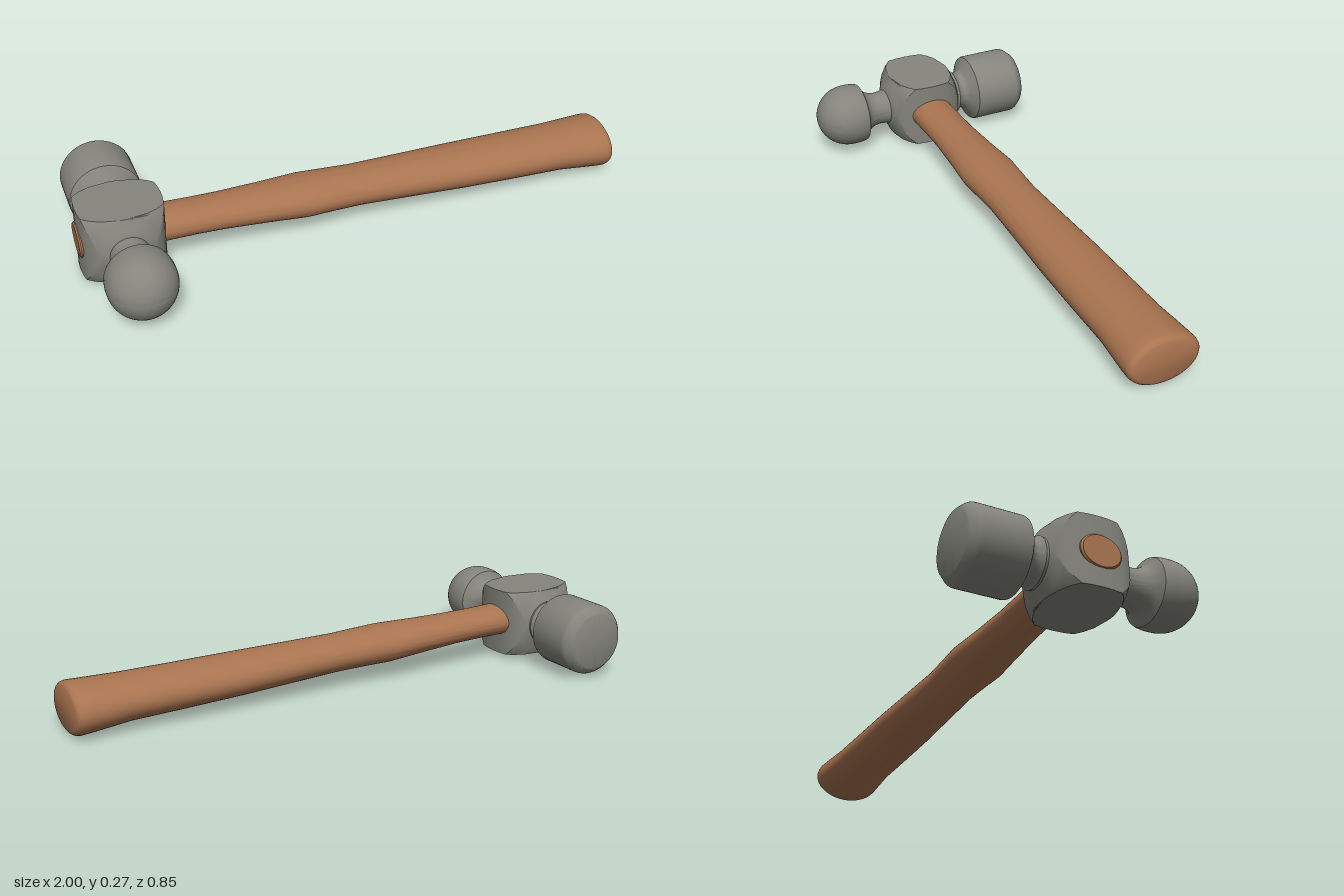
import * as THREE from 'three';
import { toCreasedNormals } from 'three/addons/utils/BufferGeometryUtils.js';

// Skin a list of equal-length point rings and close both ends
function loft(rings, crease) {
  const n = rings[0].length, pos = [], idx = [];
  for (const ring of rings) for (const p of ring) pos.push(...p);
  for (let i = 0; i < rings.length - 1; i++) {
    for (let j = 0; j < n; j++) {
      const k = (j + 1) % n, a = i * n + j, b = i * n + k;
      idx.push(a, b, b + n, a, b + n, a + n);
    }
  }
  [0, rings.length - 1].forEach((r, end) => {
    const c = [0, 1, 2].map(d => rings[r].reduce((s, p) => s + p[d], 0) / n);
    const ci = pos.length / 3;
    pos.push(...c);
    for (let j = 0; j < n; j++) {
      const a = r * n + j, b = r * n + (j + 1) % n;
      end ? idx.push(ci, a, b) : idx.push(ci, b, a);
    }
  });
  const g = new THREE.BufferGeometry();
  g.setAttribute('position', new THREE.Float32BufferAttribute(pos, 3));
  g.setIndex(idx);
  return toCreasedNormals(g, crease);
}

// Circle of radius R cut by a box of half-width w and half-height h
function clippedRing(z, R, w, h) {
  const corner = Math.atan2(h, w);
  let a1 = Math.acos(Math.min(1, w / R)), a2 = Math.asin(Math.min(1, h / R));
  if (a1 > a2) a1 = a2 = corner;
  const quarter = [];
  const add = (from, to, steps) => {
    for (let i = 0; i < steps; i++) quarter.push(from + (to - from) * i / steps);
  };
  add(0, a1, 4);
  add(a1, a2, 10);
  add(a2, Math.PI / 2, 4);
  const half = [...quarter, Math.PI / 2, ...quarter.slice(1).reverse().map(a => Math.PI - a)];
  const all = [...half, ...half.map(a => a + Math.PI)];
  return all.map(a => {
    const c = Math.cos(a), s = Math.sin(a);
    const r = Math.min(R, w / Math.max(Math.abs(c), 1e-6), h / Math.max(Math.abs(s), 1e-6));
    return [r * c, r * s, z];
  });
}

// Revolve [radius, z] pairs about the z axis
function turned(profile) {
  const g = new THREE.LatheGeometry(profile.map(p => new THREE.Vector2(...p)), 64);
  g.rotateX(Math.PI / 2);
  return toCreasedNormals(g, 0.6);
}

export function createModel() {
  const steel = new THREE.MeshStandardMaterial({ color: 0x85857d });
  steel.name = 'steel';
  const wood = new THREE.MeshStandardMaterial({ color: 0xa97450 });
  wood.name = 'wood';

  const model = new THREE.Group();
  model.name = 'hammer';
  const add = (parent, name, geometry, material) => {
    const mesh = new THREE.Mesh(geometry, material);
    mesh.name = name;
    parent.add(mesh);
    return mesh;
  };

  // Head, tipped slightly on the handle
  const head = new THREE.Group();
  head.name = 'head';
  head.position.set(-0.849, 0.143, 0);
  head.rotation.z = -0.025;
  model.add(head);

  // Eye block: bulging sides, flat top and bottom, conical ends
  const halfBody = [ // z, cone radius, half-width
    [0.147, 0.068, 0.2], [0.136, 0.09, 0.2], [0.121, 0.123, 0.112], [0.108, 0.146, 0.122],
    [0.09, 0.168, 0.133], [0.07, 0.186, 0.14], [0.035, 0.21, 0.145],
  ];
  const body = [
    ...halfBody.map(([z, r, w]) => [-z, r, w]), [0, 0.22, 0.147], ...halfBody.slice().reverse(),
  ];
  const eye = add(head, 'eyeBlock',
    loft(body.map(([z, r, w]) => clippedRing(z, r, w, 0.123)), 0.5), steel);
  eye.position.z = -0.006;

  // Ball end with its neck
  const ball = [[0.06, 0.12], [0.068, 0.143], [0.065, 0.155], [0.063, 0.18], [0.066, 0.2],
    [0.073, 0.218], [0.084, 0.232], [0.096, 0.24], [0.112, 0.248], [0.115, 0.256], [0.118, 0.28]];
  for (let i = 0; i <= 16; i++) {
    const a = i / 16 * Math.PI / 2;
    ball.push([Math.max(0, 0.118 * Math.cos(a)), 0.303 + 0.122 * Math.sin(a)]);
  }
  add(head, 'ballPeen', turned(ball), steel);

  // Flat striking end with its neck
  add(head, 'strikingFace', turned([
    [0, -0.426], [0.1, -0.426], [0.107, -0.423], [0.125, -0.402], [0.129, -0.394], [0.13, -0.385],
    [0.13, -0.23], [0.127, -0.222], [0.085, -0.198], [0.077, -0.192], [0.073, -0.182],
    [0.073, -0.172], [0.077, -0.163], [0.085, -0.155], [0.08, -0.13],
  ]), steel);

  // Handle: oval sections running through the head
  const stations = [ // x, top, bottom, half-depth
    [-1, 0.198, 0.092, 0.066], [-0.994, 0.203, 0.087, 0.072], [-0.7, 0.2, 0.085, 0.083],
    [-0.6, 0.196, 0.084, 0.082], [-0.5, 0.194, 0.08, 0.083], [-0.35, 0.194, 0.07, 0.092],
    [-0.2, 0.196, 0.059, 0.104], [-0.1, 0.192, 0.058, 0.098], [0, 0.187, 0.056, 0.094],
    [0.2, 0.184, 0.046, 0.102], [0.4, 0.181, 0.036, 0.111], [0.6, 0.178, 0.028, 0.115],
    [0.8, 0.176, 0.021, 0.118], [0.94, 0.178, 0.006, 0.129], [0.975, 0.179, 0.003, 0.13],
    [0.988, 0.176, 0.006, 0.127], [0.996, 0.17, 0.012, 0.12], [1, 0.163, 0.019, 0.111],
  ];
  const rings = stations.map(([x, top, bottom, d]) => Array.from({ length: 48 }, (_, j) => {
    const a = j / 48 * Math.PI * 2;
    return [x, (top + bottom) / 2 + (top - bottom) / 2 * Math.cos(a), -0.005 + d * Math.sin(a)];
  }));
  add(model, 'handle', loft(rings, 0.7), wood);

  return model;
}
